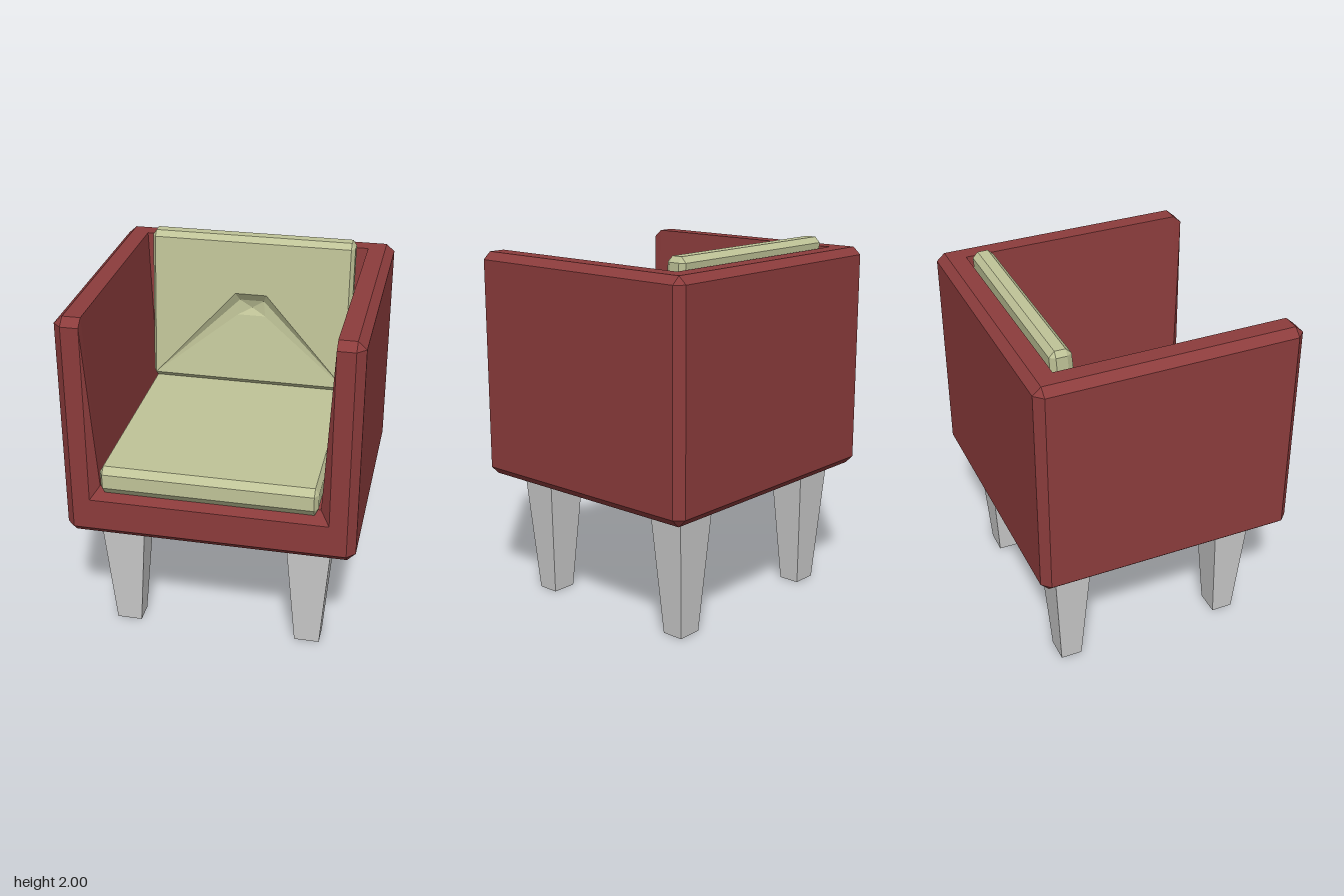
import * as THREE from 'three';
import { ConvexGeometry } from 'three/addons/geometries/ConvexGeometry.js';

const mat = (color) => new THREE.MeshStandardMaterial({ color, flatShading: true });

// Faces for the x >= 0 half, each [outward hint, corners], mirrored to the other half
function mirroredFaces(faces) {
  const pos = [];
  const tri = (a, b, c) => pos.push(...a, ...b, ...c);
  const flip = ([x, y, z]) => [-x, y, z];
  for (const [hint, pts] of faces) {
    const v = pts.map((p) => new THREE.Vector3(...p));
    for (let i = 1; i + 1 < pts.length; i++) {
      const n = v[i].clone().sub(v[0]).cross(v[i + 1].clone().sub(v[0]));
      let [a, b, c] = [pts[0], pts[i], pts[i + 1]];
      if (n.dot(new THREE.Vector3(...hint)) < 0) [b, c] = [c, b];
      tri(a, b, c);
      tri(flip(a), flip(c), flip(b));
    }
  }
  const g = new THREE.BufferGeometry();
  g.setAttribute('position', new THREE.Float32BufferAttribute(pos, 3));
  g.computeVertexNormals();
  return g;
}

// Bevelled shell with an open-fronted, slightly tapered recess
function shellGeometry() {
  const W = 0.78, w = 0.735, i = 0.64, k = 0.59;
  const Y0 = 0.69, Y1 = 0.735, Y2 = 0.91, Y3 = 0.98, Y4 = 1.9, Y5 = 1.94;
  const Z0 = -0.73, z0 = -0.685, z1 = 0.67, Z1 = 0.715, rb = -0.59, fb = -0.535;
  const faces = [
    // flat outer sides
    [[1, 0, 0], [[W, Y1, z1], [W, Y1, z0], [W, Y4, z0], [W, Y4, z1]]],
    [[0, -1, 0], [[0, Y0, z1], [w, Y0, z1], [w, Y0, z0], [0, Y0, z0]]],
    [[0, 0, -1], [[0, Y1, Z0], [w, Y1, Z0], [w, Y4, Z0], [0, Y4, Z0]]],
    // rim
    [[0, 1, 0], [[w, Y5, z1], [w, Y5, z0], [i, Y5, rb], [i, Y5, z1]]],
    [[0, 1, 0], [[w, Y5, z0], [0, Y5, z0], [0, Y5, rb], [i, Y5, rb]]],
    // front of arm and base
    [[0, 0, 1], [[w, Y1, Z1], [w, Y4, Z1], [i, Y4, Z1], [i, Y2, Z1]]],
    [[0, 0, 1], [[w, Y1, Z1], [i, Y2, Z1], [0, Y2, Z1], [0, Y1, Z1]]],
    // bevels beside the rim and under the front
    [[0, 1, -1], [[0, Y4, Z0], [w, Y4, Z0], [w, Y5, z0], [0, Y5, z0]]],
    [[0, 1, 1], [[i, Y4, Z1], [w, Y4, Z1], [w, Y5, z1], [i, Y5, z1]]],
    [[1, 1, 0], [[W, Y4, z0], [W, Y4, z1], [w, Y5, z1], [w, Y5, z0]]],
    [[1, -1, 0], [[W, Y1, z0], [W, Y1, z1], [w, Y0, z1], [w, Y0, z0]]],
    // recess: front bevels, arm wall, back wall, floor
    [[-1, 0, 1], [[i, Y4, Z1], [i, Y2, Z1], [k, Y3, z1], [i, Y5, z1]]],
    [[0, 1, 1], [[i, Y2, Z1], [0, Y2, Z1], [0, Y3, z1], [k, Y3, z1]]],
    [[-1, 0, 0], [[i, Y5, z1], [k, Y3, z1], [k, Y3, fb], [i, Y5, rb]]],
    [[0, 0, 1], [[i, Y5, rb], [k, Y3, fb], [0, Y3, fb], [0, Y5, rb]]],
    [[0, 1, 0], [[k, Y3, z1], [0, Y3, z1], [0, Y3, fb], [k, Y3, fb]]],
  ];
  // upright bevels, lower bevels and corner triangles, front and back
  for (const [Z, z, s] of [[Z1, z1, 1], [Z0, z0, -1]]) {
    faces.push([[1, 0, s], [[W, Y1, z], [W, Y4, z], [w, Y4, Z], [w, Y1, Z]]]);
    faces.push([[0, -1, s], [[0, Y1, Z], [w, Y1, Z], [w, Y0, z], [0, Y0, z]]]);
    faces.push([[1, 1, s], [[W, Y4, z], [w, Y5, z], [w, Y4, Z]]]);
    faces.push([[1, -1, s], [[W, Y1, z], [w, Y0, z], [w, Y1, Z]]]);
  }
  return mirroredFaces(faces);
}

// Bevelled slab for the seat
function seatGeometry() {
  const pts = [];
  for (const s of [-1, 1]) {
    for (const [y, zf, zb, x] of [[0.955, 0.69, -0.47, 0.56], [1.0, 0.725, -0.5, 0.56],
      [1.08, 0.725, -0.5, 0.56], [1.115, 0.69, -0.47, 0.56],
      [1.0, 0.69, -0.47, 0.58], [1.08, 0.69, -0.47, 0.58]]) {
      pts.push(new THREE.Vector3(s * x, y, zf), new THREE.Vector3(s * x, y, zb));
    }
  }
  return new ConvexGeometry(pts);
}

// Leaning back cushion: bevelled section with a tufted hollow in front
function backGeometry() {
  const S = [[1.15, -0.39], [1.117, -0.425], [1.117, -0.5], [1.15, -0.53],
    [1.97, -0.577], [2.0, -0.548], [2.0, -0.49], [1.97, -0.46]];
  const inner = [[1.155, -0.425], [1.155, -0.5], [1.97, -0.548], [1.97, -0.49]];
  const p = (x, [y, z]) => [x, y, z];
  const x = 0.56, X = 0.58, mid = [1.56, -0.48];
  const faces = [];
  // long faces and bevels, all but the front
  for (let j = 0; j < 7; j++) {
    const a = S[j], b = S[j + 1];
    const hint = [0, b[1] - a[1] === 0 ? 0 : -(b[1] - a[1]), b[0] - a[0]];
    hint[1] = (a[0] + b[0]) / 2 - mid[0];
    hint[2] = (a[1] + b[1]) / 2 - mid[1];
    if (j === 3) hint[1] = 0;
    faces.push([hint, [p(0, a), p(x, a), p(x, b), p(0, b)]]);
  }
  // end face, its bevels and corners
  faces.push([[1, 0, 0], inner.map((q) => p(X, q))]);
  for (let j = 0; j < 4; j++) {
    const a = S[2 * j], b = S[2 * j + 1], q = inner[j], r = inner[(j + 1) % 4];
    faces.push([[1, 0, 0], [p(x, a), p(x, b), p(X, q)]]);
    faces.push([[1, 0, 0], [p(x, b), p(x, S[(2 * j + 2) % 8]), p(X, r), p(X, q)]]);
  }
  // front panel around the hollow
  const front = [0, 0, 1];
  const zAt = (y) => -0.39 - 0.07 * (y - 1.15) / 0.82;
  const low = p(x, S[0]), high = p(x, S[7]);
  const rim = [0.09, 1.67, zAt(1.67)], dip = [0.07, 1.62, zAt(1.62) - 0.04];
  const lip = [0.08, 1.53, zAt(1.53) - 0.04], button = [0, 1.57, zAt(1.57) - 0.06];
  const centre = ([, y, z]) => [0, y, z];
  faces.push(
    [front, [high, rim, low]],
    [front, [high, centre(high), centre(rim), rim]],
    [front, [rim, centre(rim), centre(dip), dip]],
    [front, [rim, dip, low]],
    [front, [dip, lip, low]],
    [front, [dip, centre(dip), button]],
    [front, [dip, button, lip]],
    [front, [lip, button, centre(lip)]],
    [front, [low, lip, centre(lip), centre(low)]],
  );
  return mirroredFaces(faces);
}

// Square leg narrowing to the foot
function legGeometry() {
  const g = new THREE.BoxGeometry(0.25, 0.7, 0.21);
  const pos = g.attributes.position;
  for (let j = 0; j < pos.count; j++) {
    if (pos.getY(j) < 0) {
      pos.setX(j, pos.getX(j) * 0.56);
      pos.setZ(j, pos.getZ(j) * 0.57);
    }
  }
  g.translate(0, 0.35, 0);
  g.computeVertexNormals();
  return g;
}

export function createModel() {
  const chair = new THREE.Group();
  chair.name = 'armchair';
  const red = mat(0x8c3c3c), green = mat(0xc0c498), grey = mat(0xcccccc);
  const add = (name, geometry, material) => {
    const mesh = new THREE.Mesh(geometry, material);
    mesh.name = name;
    chair.add(mesh);
    return mesh;
  };

  add('shell', shellGeometry(), red);
  add('seatCushion', seatGeometry(), green);
  add('backCushion', backGeometry(), green);

  const leg = legGeometry();
  for (const [side, x] of [['Left', 0.515], ['Right', -0.515]]) {
    for (const [end, z] of [['front', 0.445], ['back', -0.51]]) {
      add(`${end}${side}Leg`, leg, grey).position.set(x, 0, z);
    }
  }
  return chair;
}
